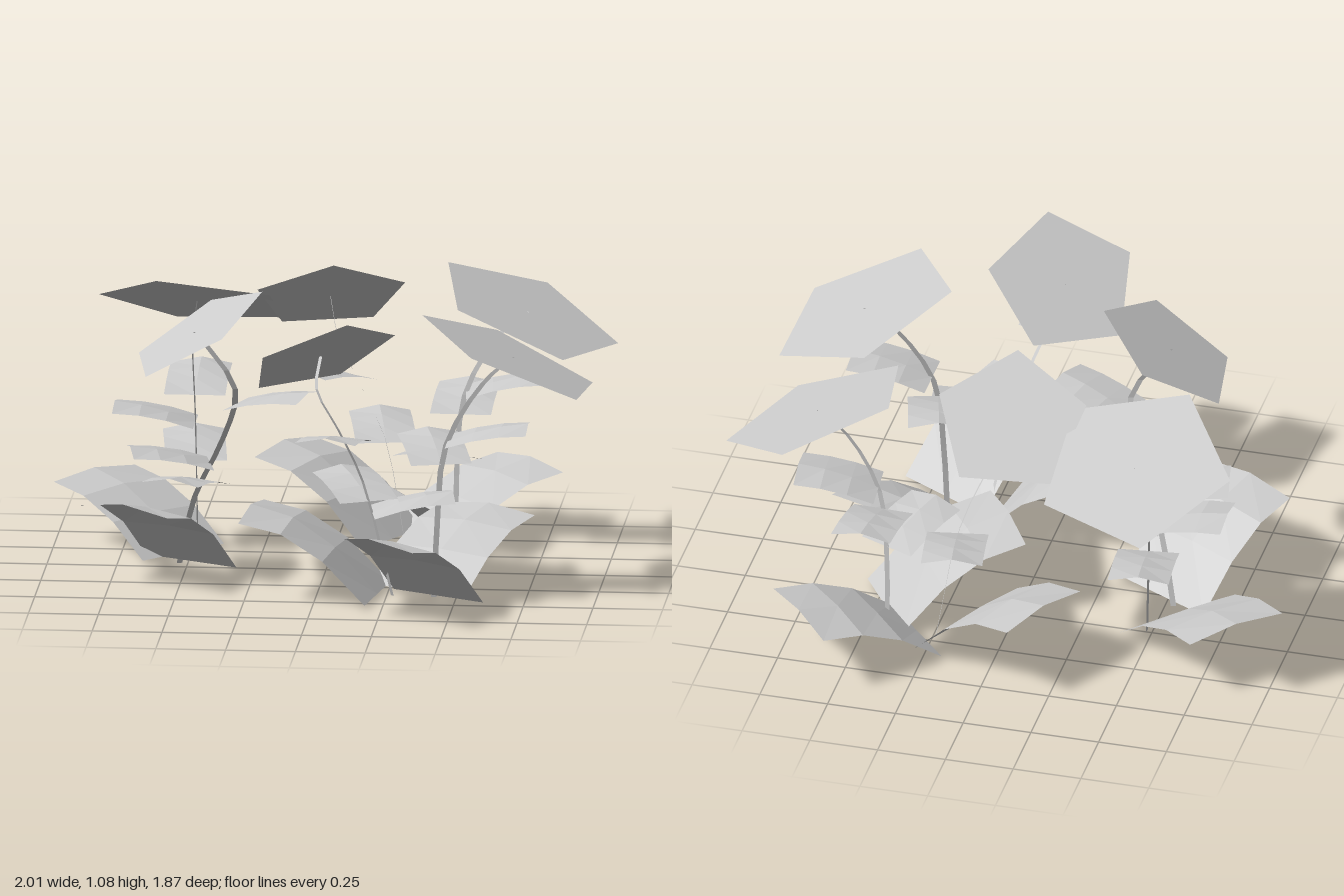
import * as THREE from 'three';

const mat = new THREE.MeshStandardMaterial({ color: 0xcccccc, flatShading: true, side: THREE.DoubleSide });

function part(name, geometry) {
  const mesh = new THREE.Mesh(geometry, mat);
  mesh.name = name;
  return mesh;
}

// Five-sided bloom on a tilted plane (slopes along x and z), one corner turned to a heading
function bloom(centre, radius, slopeX, slopeZ, heading) {
  const a = THREE.MathUtils.degToRad(heading), c = Math.cos(a), s = Math.sin(a);
  const corner = new THREE.Vector3(c, slopeX * c + slopeZ * s, s).normalize();
  const normal = new THREE.Vector3(-slopeX, 1, -slopeZ).normalize();
  const side = normal.clone().cross(corner);
  const g = new THREE.CircleGeometry(radius, 5);
  g.applyMatrix4(new THREE.Matrix4().makeBasis(corner, side, normal).setPosition(centre));
  return part('bloom', g);
}

// Stem: a thin flat ribbon along the curve, its width lying in the direction the bloom tilts
function ribbon(curve, slopeX, slopeZ) {
  const steps = 12, g = new THREE.PlaneGeometry(0.02, 1, 1, steps), pos = g.attributes.position;
  const across = new THREE.Vector3(slopeX, 0, slopeZ).normalize();
  for (let i = 0; i < pos.count; i++) {
    const p = curve.getPoint(pos.getY(i) + 0.5).addScaledVector(across, pos.getX(i));
    pos.setXYZ(i, p.x, p.y, p.z);
  }
  g.computeVertexNormals();
  return part('stem', g);
}

// Arched leaf: a 2 x 3 grid bent so it rises steeply, levels off and has a raised middle rib
function leaf(name, root, heading, { length, width, rise, rib }) {
  const g = new THREE.PlaneGeometry(1, 1, 3, 2).rotateX(-Math.PI / 2);
  const pos = g.attributes.position;
  for (let i = 0; i < pos.count; i++) {
    const t = pos.getX(i) + 0.5, s = pos.getZ(i);
    const y = rise * (1 - (1 - t) ** 2) + rib * t * (1 - 2 * Math.abs(s));
    pos.setXYZ(i, t * length, y, s * width);
  }
  g.rotateY(-THREE.MathUtils.degToRad(heading));
  g.translate(root.x, root.y, root.z);
  g.computeVertexNormals();
  return part(name, g);
}

const stemLeaf = { length: 0.29, width: 0.22, rise: 0.05, rib: 0.022 };
const tallLeaf = { length: 0.465, width: 0.38, rise: 0.275, rib: 0.028 };
const flatLeaf = { length: 0.475, width: 0.39, rise: 0.205, rib: 0.022 };
const large = 0.354, small = 0.278;

// One plant: stem points end at the bloom; ground leaves are [x, z, heading, shape],
// stem leaves are [height, heading]
function plant({ stem, radius, tilt, low, mid }) {
  const group = new THREE.Group();
  group.name = 'plant';
  const points = stem.map(p => new THREE.Vector3(...p));
  const curve = new THREE.CatmullRomCurve3(points);
  group.add(ribbon(curve, tilt[0], tilt[1]));
  group.add(bloom(points[points.length - 1], radius, ...tilt));
  for (const [x, z, heading, shape] of low)
    group.add(leaf('groundLeaf', new THREE.Vector3(x, 0.015, z), heading, shape));
  const samples = curve.getPoints(80);
  for (const [height, heading] of mid)
    group.add(leaf('stemLeaf', samples.find(p => p.y >= height), heading, stemLeaf));
  return group;
}

const backLeft = () => plant({
  stem: [[-0.48, 0, -0.24], [-0.49, 0.5, -0.25], [-0.51, 0.74, -0.37], [-0.506, 0.856, -0.502]],
  radius: large,
  tilt: [-0.06, 0.45, 183],
  low: [[-0.525, -0.16, 223, flatLeaf]],
  mid: [[0.47, 180], [0.56, 270], [0.32, 263]],
});

const backCentre = () => plant({
  stem: [[0.24, 0, -0.47], [0.18, 0.4, -0.36], [0.08, 0.65, -0.28], [0.02, 0.78, -0.29], [-0.02, 0.91, -0.406]],
  radius: small,
  tilt: [0.15, 0.71, 82],
  low: [[0.2, -0.43, 209, tallLeaf], [0.31, -0.47, 318, flatLeaf]],
  mid: [[0.64, 126], [0.38, 260]],
});

const backRight = () => plant({
  stem: [[0.43, 0, -0.43], [0.43, 0.25, -0.43], [0.46, 0.55, -0.42], [0.58, 0.77, -0.42], [0.682, 0.859, -0.43]],
  radius: large,
  tilt: [-0.43, -0.12, 277],
  low: [[0.46, -0.34, 146, tallLeaf]],
  mid: [[0.47, 272], [0.32, 113], [0.56, 355]],
});

const frontRight = () => plant({
  stem: [[0.42, 0, 0.38], [0.43, 0.25, 0.37], [0.46, 0.55, 0.34], [0.59, 0.77, 0.3], [0.69, 0.86, 0.27]],
  radius: large,
  tilt: [-0.44, 0.06, 326],
  low: [[0.44, 0.42, 118, tallLeaf], [0.36, 0.35, 297, flatLeaf]],
  mid: [[0.56, 0], [0.47, 255]],
});

const frontCentre = () => plant({
  stem: [[0.27, 0, 0.37], [0.18, 0.46, 0.55], [0.1, 0.67, 0.64], [0.02, 0.81, 0.61], [0.028, 0.913, 0.532]],
  radius: small,
  tilt: [0.42, 0.59, 60.5],
  low: [[0.22, 0.41, 189, tallLeaf]],
  mid: [[0.63, 98], [0.33, 350], [0.37, 245]],
});

const frontLeft = () => plant({
  stem: [[-0.53, 0, -0.06], [-0.47, 0.26, 0], [-0.36, 0.5, 0.1], [-0.31, 0.7, 0.18], [-0.448, 0.912, 0.202]],
  radius: small,
  tilt: [0.6, -0.13, 352],
  low: [[-0.485, -0.03, 117, tallLeaf]],
  mid: [[0.64, 20], [0.39, 168], [0.31, 108]],
});

export function createModel() {
  const model = new THREE.Group();
  model.name = 'flowerPatch';
  model.add(backLeft(), backCentre(), backRight(), frontRight(), frontCentre(), frontLeft());
  return model;
}
